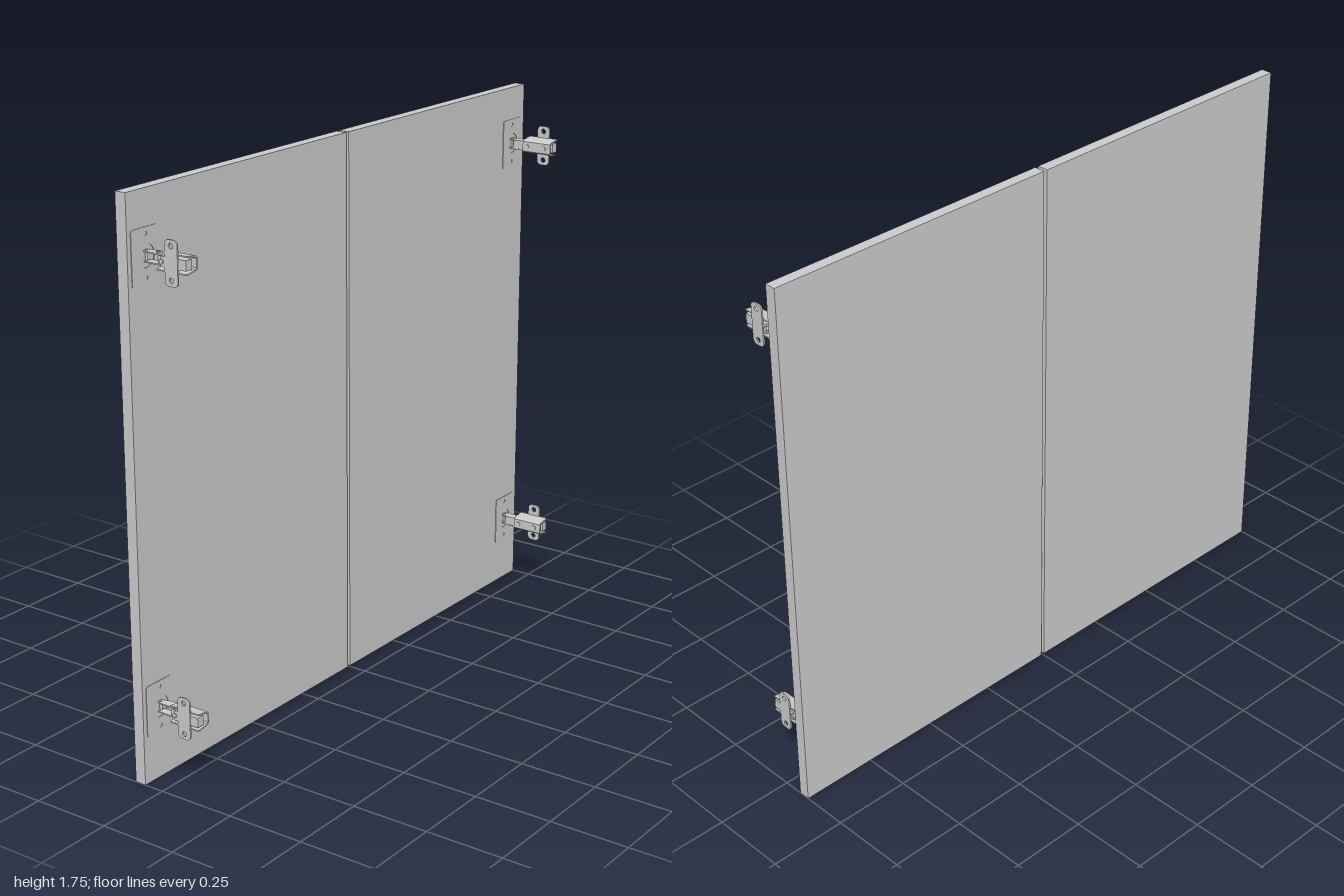
import * as THREE from 'three';

const material = new THREE.MeshStandardMaterial({ color: 0xcccccc, side: THREE.DoubleSide });

function mesh(name, geometry, x = 0, y = 0, z = 0) {
  const m = new THREE.Mesh(geometry, material);
  m.name = name;
  m.position.set(x, y, z);
  return m;
}

function box(name, x0, x1, y0, y1, z0, z1) {
  return mesh(name, new THREE.BoxGeometry(x1 - x0, y1 - y0, z1 - z0),
    (x0 + x1) / 2, (y0 + y1) / 2, (z0 + z1) / 2);
}

function roundedRect(w, h, r) {
  const s = new THREE.Shape();
  s.absarc(w / 2 - r, h / 2 - r, r, 0, Math.PI / 2);
  s.absarc(-w / 2 + r, h / 2 - r, r, Math.PI / 2, Math.PI);
  s.absarc(-w / 2 + r, -h / 2 + r, r, Math.PI, Math.PI * 1.5);
  s.absarc(w / 2 - r, -h / 2 + r, r, Math.PI * 1.5, Math.PI * 2);
  s.closePath();
  return s;
}

function hole(shape, x, y, r) {
  shape.holes.push(new THREE.Path().absarc(x, y, r, 0, Math.PI * 2, true));
}

function extrude(shape, depth) {
  return new THREE.ExtrudeGeometry(shape, { depth, bevelEnabled: false, curveSegments: 8 });
}

function polygon(points) {
  return new THREE.Shape(points.map(([x, y]) => new THREE.Vector2(x, y)));
}

// Extrude a (-z, y) outline along x
function extrudeX(shape, depth) {
  return extrude(shape, depth).rotateY(Math.PI / 2);
}

// Cylinder lying along x
function screw(name, r, x0, x1, y, z) {
  const g = new THREE.CylinderGeometry(r, r, x1 - x0, 16).rotateZ(Math.PI / 2);
  return mesh(name, g, (x0 + x1) / 2, y, z);
}

// One cabinet hinge, for the model's left (+x) side
function createHinge() {
  const hinge = new THREE.Group();
  hinge.name = 'hinge';

  // Thin flange on the door face, with cup opening and screw holes
  const flange = roundedRect(0.11, 0.16, 0.008);
  hole(flange, -0.004, 0, 0.034);
  for (const s of [-1, 1]) hole(flange, -0.004, s * 0.062, 0.006);
  hinge.add(mesh('cupFlange', extrude(flange, 0.002), 0.93, 0, -0.064));

  // Cup sunk into the door
  const cup = new THREE.LatheGeometry(
    [[0, 0], [0.033, 0], [0.035, 0.004], [0.035, 0.027]].map(([x, y]) => new THREE.Vector2(x, y)), 24);
  cup.rotateX(Math.PI / 2);
  hinge.add(mesh('hingeCup', cup, 0.926, 0, -0.089));

  // Channel-shaped arm, open towards the cabinet side
  const channel = polygon([
    [0.95, 0.027], [0.91, 0.021], [0.904, 0.016], [0.904, -0.016], [0.91, -0.021], [0.95, -0.027],
    [0.95, -0.023], [0.912, -0.017], [0.908, -0.013], [0.908, 0.013], [0.912, 0.017], [0.95, 0.023]]);
  hinge.add(mesh('hingeArm', extrude(channel, 0.105), 0, 0, -0.005));

  // Knuckle links from the arm to the cup
  const link = polygon([
    [0.908, 0.015], [0.908, -0.03], [0.914, -0.055], [0.92, -0.07],
    [0.932, -0.07], [0.938, -0.05], [0.94, 0.015]]);
  for (const y of [-0.016, 0.012]) {
    const g = extrude(link, 0.004).rotateX(Math.PI / 2);
    hinge.add(mesh('linkSide', g, 0, y + 0.004, 0));
  }
  hinge.add(box('linkBridge', 0.909, 0.914, -0.013, 0.013, -0.045, 0.015));
  for (const [x, z] of [[0.926, -0.06], [0.93, -0.012]]) {
    hinge.add(mesh('pivotPin', new THREE.CylinderGeometry(0.004, 0.004, 0.036, 12), x, 0, z));
  }

  // Mounting plate with two holed wings
  const wings = roundedRect(0.045, 0.13, 0.014);
  for (const s of [-1, 1]) hole(wings, 0, s * 0.048, 0.008);
  hinge.add(mesh('mountingWings', extrudeX(wings, 0.005), 0.947, 0, 0.048));
  hinge.add(box('mountingRidge', 0.925, 0.95, -0.015, 0.015, 0.01, 0.098));

  // Adjusting screws
  hinge.add(screw('sideScrew', 0.007, 0.902, 0.953, 0, 0.013));
  hinge.add(screw('fixingScrew', 0.008, 0.902, 0.93, 0, 0.075));
  return hinge;
}

export function createModel() {
  const model = new THREE.Group();
  model.name = 'cabinetDoors';

  // Pair of door panels with a narrow gap
  model.add(box('rightDoor', -1, -0.006, 0, 1.752, -0.1, -0.064));
  model.add(box('leftDoor', 0.006, 1, 0, 1.752, -0.1, -0.064));

  // Two hinges per door; half a turn about z mirrors the symmetric hinge
  for (const turn of [0, Math.PI]) {
    for (const y of [0.225, 1.565]) {
      const hinge = createHinge();
      hinge.position.y = y;
      hinge.rotation.z = turn;
      model.add(hinge);
    }
  }
  return model;
}
